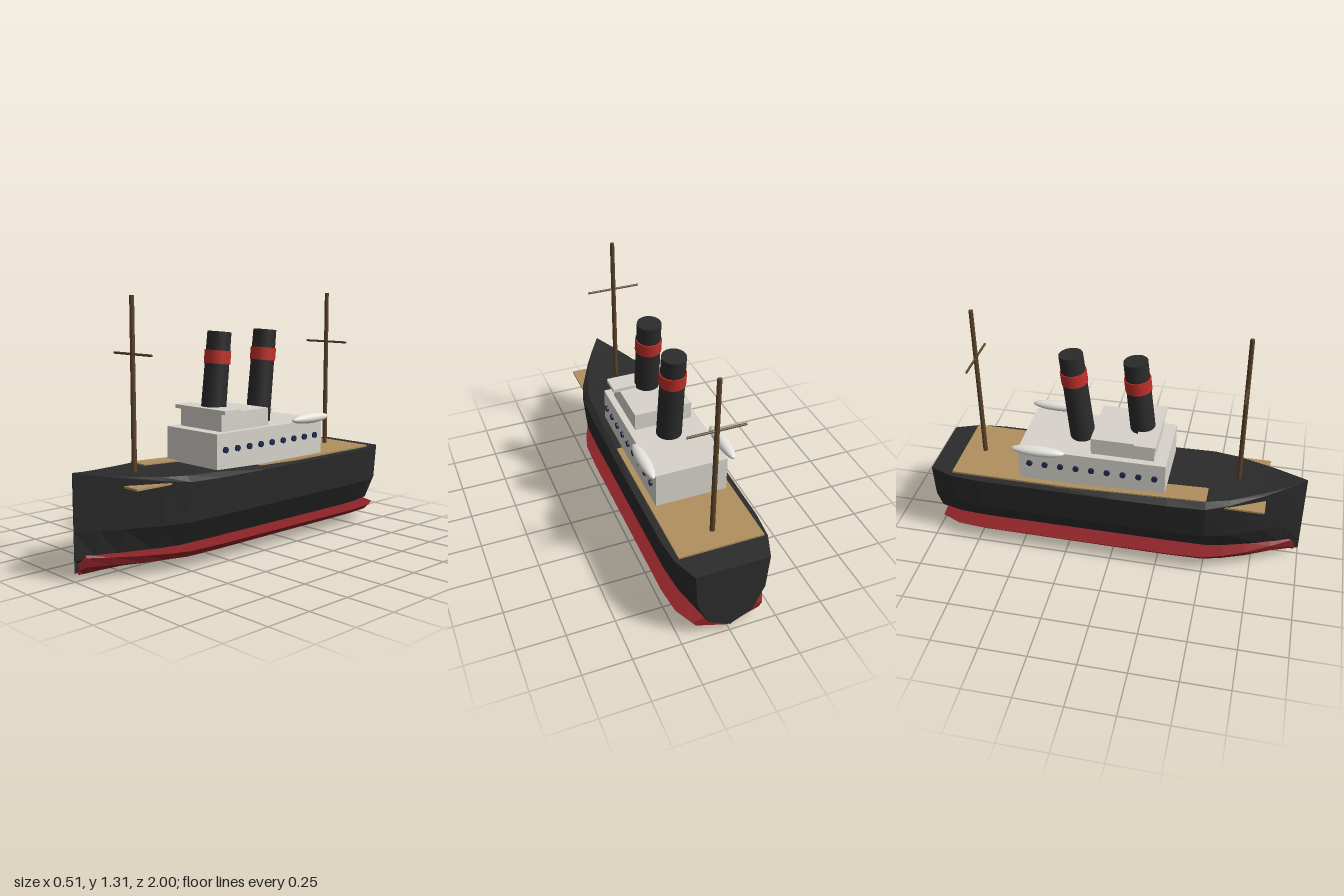
import * as THREE from 'three';

const paint = (name, color) => {
  const m = new THREE.MeshStandardMaterial({ color });
  m.name = name;
  return m;
};

// Skin a series of rings (counter-clockwise seen from +z, ordered by rising z) and cap both ends.
function loft(rings) {
  const pos = [];
  const tri = (a, b, c) => pos.push(...a, ...b, ...c);
  const n = rings[0].length;
  for (let i = 0; i < rings.length - 1; i++) {
    for (let j = 0; j < n; j++) {
      const k = (j + 1) % n;
      const a = rings[i][j], b = rings[i][k], c = rings[i + 1][k], d = rings[i + 1][j];
      tri(a, b, c);
      tri(a, c, d);
    }
  }
  const first = rings[0], last = rings[rings.length - 1];
  for (let j = 1; j < n - 1; j++) {
    tri(first[0], first[j + 1], first[j]);
    tri(last[0], last[j], last[j + 1]);
  }
  const g = new THREE.BufferGeometry();
  g.setAttribute('position', new THREE.Float32BufferAttribute(pos, 3));
  g.computeVertexNormals();
  return g;
}

// Complete a half section (keel upwards, x >= 0) with its mirror image.
const mirrorRing = (half, z) => [
  ...half.map(([x, y]) => [x, y, z]),
  ...half.slice(1).reverse().map(([x, y]) => [-x, y, z]),
];

export function createModel() {
  const ship = new THREE.Group();
  ship.name = 'steamship';

  const black = paint('hullBlack', 0x2b2b2b);
  const bootRed = paint('keelRed', 0x8b2226);
  const bandRed = paint('bandRed', 0xc0302a);
  const tan = paint('deckTan', 0xb0905f);
  const white = paint('cabinWhite', 0xd8d4cc);
  const boatWhite = paint('boatWhite', 0xe4e2dc);
  const navy = paint('portholeNavy', 0x1f2a50);
  const wood = paint('mastBrown', 0x5c4328);

  const add = (name, geo, mat, x = 0, y = 0, z = 0, parent = ship) => {
    const m = new THREE.Mesh(geo, mat);
    m.name = name;
    m.position.set(x, y, z);
    parent.add(m);
    return m;
  };
  const box = (name, mat, w, y0, y1, z0, z1, x = 0) =>
    add(name, new THREE.BoxGeometry(w, y1 - y0, z1 - z0), mat, x, (y0 + y1) / 2, (z0 + z1) / 2);

  // Hull: z, half width, height of deck edge, height of raised deck
  const hull = [
    [-1, 0.19, 0.425, 0.425], [-0.87, 0.24, 0.426, 0.426], [-0.72, 0.254, 0.427, 0.427],
    [-0.33, 0.255, 0.428, 0.43], [0, 0.255, 0.428, 0.443], [0.3, 0.255, 0.43, 0.454],
    [0.5, 0.25, 0.436, 0.463], [0.62, 0.213, 0.452, 0.468], [0.8, 0.124, 0.479, 0.485],
    [0.9, 0.065, 0.496, 0.498], [1, 0.001, 0.514, 0.515],
  ];
  add('hull', loft(hull.map(([z, w, edge, crest]) => mirrorRing([
    [0, 0.04], [w * 0.6, 0.1], [w * 0.92, 0.235], [w, edge], [w * 0.87, crest],
  ], z))), black);

  // Flared red bottom: z, half width, keel height, chine height, rim height
  const bottom = [
    [-0.97, 0.185, 0.005, 0.065, 0.09], [-0.87, 0.232, 0, 0.065, 0.09], [-0.72, 0.247, 0, 0.065, 0.09],
    [0.3, 0.25, 0, 0.065, 0.095], [0.5, 0.243, 0, 0.065, 0.097], [0.6, 0.215, 0.005, 0.067, 0.1],
    [0.72, 0.165, 0.02, 0.068, 0.103], [0.85, 0.092, 0.026, 0.068, 0.107],
    [0.95, 0.03, 0.028, 0.065, 0.11], [0.98, 0.006, 0.03, 0.05, 0.065],
  ];
  add('redBottom', loft(bottom.map(([z, w, keel, chine, rim]) => mirrorRing([
    [0, keel], [w * 0.9, chine], [w, rim], [w * 0.6, rim + 0.012],
  ], z))), bootRed);

  // Deck planking
  box('deck', tan, 0.44, 0.433, 0.443, -0.87, 0.8);
  const sideDeck = box('sideDeck', tan, 0.11, 0.446, 0.454, -0.3, 0.5, -0.165);
  sideDeck.rotation.x = -0.037;

  // Cabins
  box('mainCabin', white, 0.38, 0.43, 0.632, -0.5, 0.28);
  box('upperCabin', white, 0.31, 0.63, 0.725, -0.117, 0.215);
  box('bridgeRoof', white, 0.38, 0.722, 0.742, 0.115, 0.225);

  // Portholes and lifeboats on both sides
  const port = new THREE.CylinderGeometry(0.016, 0.016, 0.02, 12).rotateZ(Math.PI / 2);
  const boat = new THREE.SphereGeometry(1, 20, 14).rotateX(Math.PI / 2).scale(0.033, 0.027, 0.142);
  for (const s of [1, -1]) {
    for (let i = 0; i < 9; i++) add('porthole', port, navy, s * 0.191, 0.548, 0.225 - i * 0.0832);
    add('lifeboat', boat, boatWhite, s * 0.211, 0.648, -0.386);
  }

  // Raked funnels with a red band
  for (const z of [0.138, -0.195]) {
    const funnel = new THREE.Group();
    funnel.name = 'funnel';
    funnel.position.set(0, 0.63, z);
    funnel.rotation.x = -0.108;
    add('funnelTube', new THREE.CylinderGeometry(0.0625, 0.0665, 0.495, 20), black, 0, 0.2475, 0, funnel);
    add('funnelBand', new THREE.CylinderGeometry(0.069, 0.069, 0.068, 20), bandRed, 0, 0.365, 0, funnel);
    ship.add(funnel);
  }

  // Masts with crossing yards
  for (const z of [0.645, -0.755]) {
    add('mast', new THREE.CylinderGeometry(0.0115, 0.013, 0.88, 10), wood, 0, 0.872, z);
    add('yard', new THREE.CylinderGeometry(0.006, 0.006, 0.29, 8).rotateZ(Math.PI / 2), wood, 0, 1.036, z);
  }
  return ship;
}
